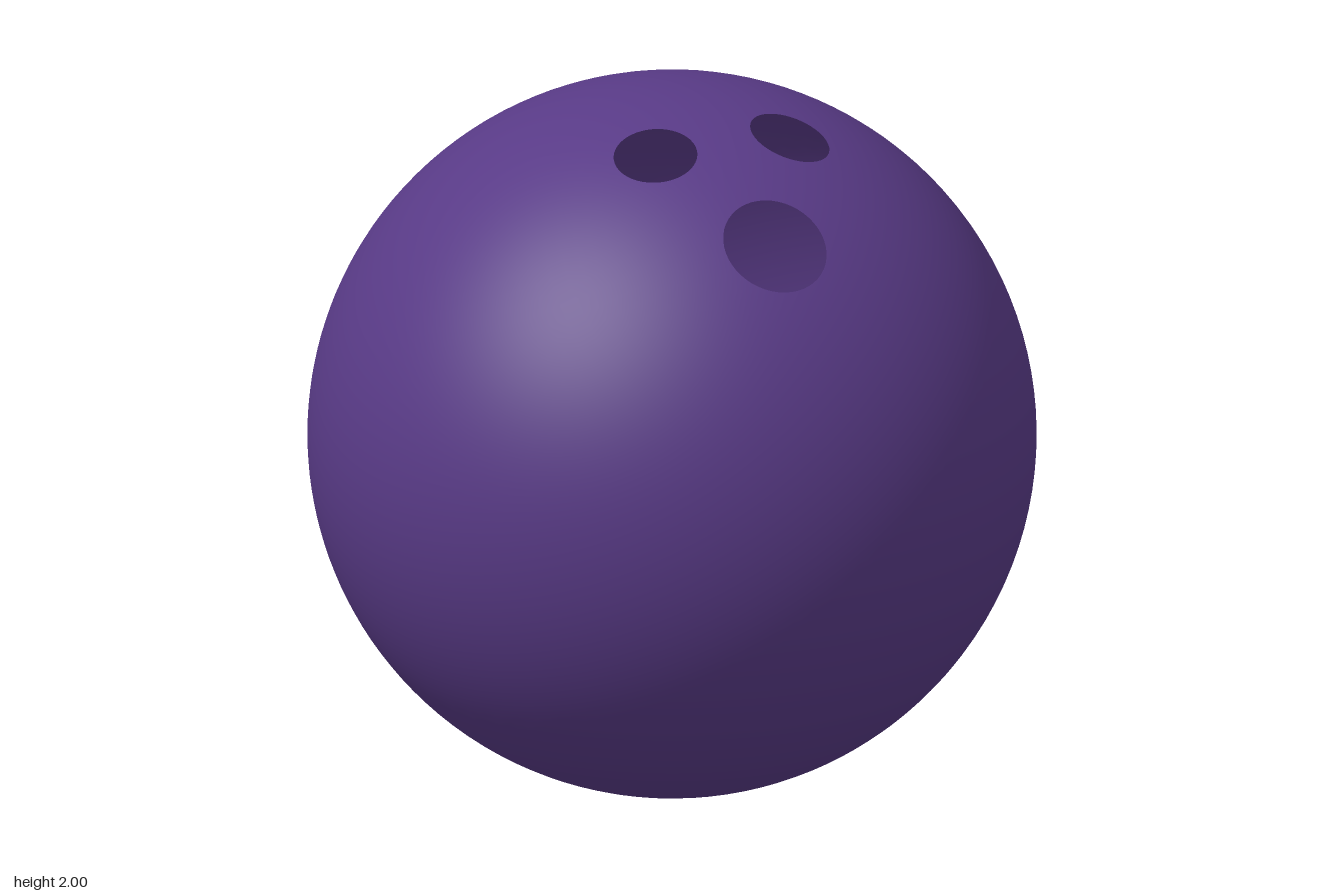
import * as THREE from 'three';
import { ConvexGeometry } from 'three/addons/geometries/ConvexGeometry.js';

const POINTS = 6000;
const RIM_SEGMENTS = 48;

// Hole axis direction from the ball centre, and rim radius
const HOLES = [
  { axis: new THREE.Vector3(-0.204, 0.92, 0.334).normalize(), radius: 0.115 }, // finger
  { axis: new THREE.Vector3(0.204, 0.92, 0.334).normalize(), radius: 0.115 }, // finger
  { axis: new THREE.Vector3(0, 0.731, 0.682).normalize(), radius: 0.148 }, // thumb
].map((h) => ({ ...h, angle: Math.asin(h.radius) }));

const insideHole = (p, margin) => HOLES.some((h) => p.angleTo(h.axis) < h.angle + margin);

// Evenly spread unit-sphere points, with a clean ring of points on each rim
function spherePoints() {
  const points = [];
  const golden = Math.PI * (3 - Math.sqrt(5));
  for (let i = 0; i < POINTS; i++) {
    const y = 1 - (2 * i + 1) / POINTS;
    const r = Math.sqrt(1 - y * y);
    const p = new THREE.Vector3(r * Math.cos(i * golden), y, r * Math.sin(i * golden));
    if (!insideHole(p, 0.02)) points.push(p);
  }
  for (const { axis, radius, angle } of HOLES) {
    const side = new THREE.Vector3(0, 0, 1).cross(axis).normalize();
    if (side.lengthSq() < 0.5) side.set(1, 0, 0);
    const up = axis.clone().cross(side);
    points.push(axis.clone());
    for (let i = 0; i < RIM_SEGMENTS; i++) {
      const t = (i / RIM_SEGMENTS) * Math.PI * 2;
      points.push(axis.clone().multiplyScalar(Math.cos(angle))
        .addScaledVector(side, radius * Math.cos(t))
        .addScaledVector(up, radius * Math.sin(t)));
    }
  }
  return points;
}

// Skin the points, then leave out the faces that cover the holes
function shellGeometry() {
  const source = new ConvexGeometry(spherePoints()).getAttribute('position');
  const positions = [];
  const corners = [0, 1, 2].map(() => new THREE.Vector3());
  const middle = new THREE.Vector3();
  for (let i = 0; i < source.count; i += 3) {
    middle.set(0, 0, 0);
    corners.forEach((c, k) => middle.add(c.fromBufferAttribute(source, i + k)));
    if (insideHole(middle, 0)) continue;
    corners.forEach((c) => positions.push(c.x, c.y, c.z));
  }
  const geometry = new THREE.BufferGeometry();
  geometry.setAttribute('position', new THREE.Float32BufferAttribute(positions, 3));
  // On a unit sphere the smooth normal equals the position
  geometry.setAttribute('normal', new THREE.Float32BufferAttribute(positions, 3));
  return geometry;
}

export function createModel() {
  const purple = new THREE.MeshStandardMaterial({ color: 0x583a86, side: THREE.DoubleSide });
  purple.name = 'purple';

  // Hollow ball with two finger holes and a thumb hole
  const ball = new THREE.Mesh(shellGeometry(), purple);
  ball.name = 'ballShell';
  ball.position.y = 1;

  const model = new THREE.Group();
  model.name = 'bowlingBall';
  model.add(ball);
  return model;
}
